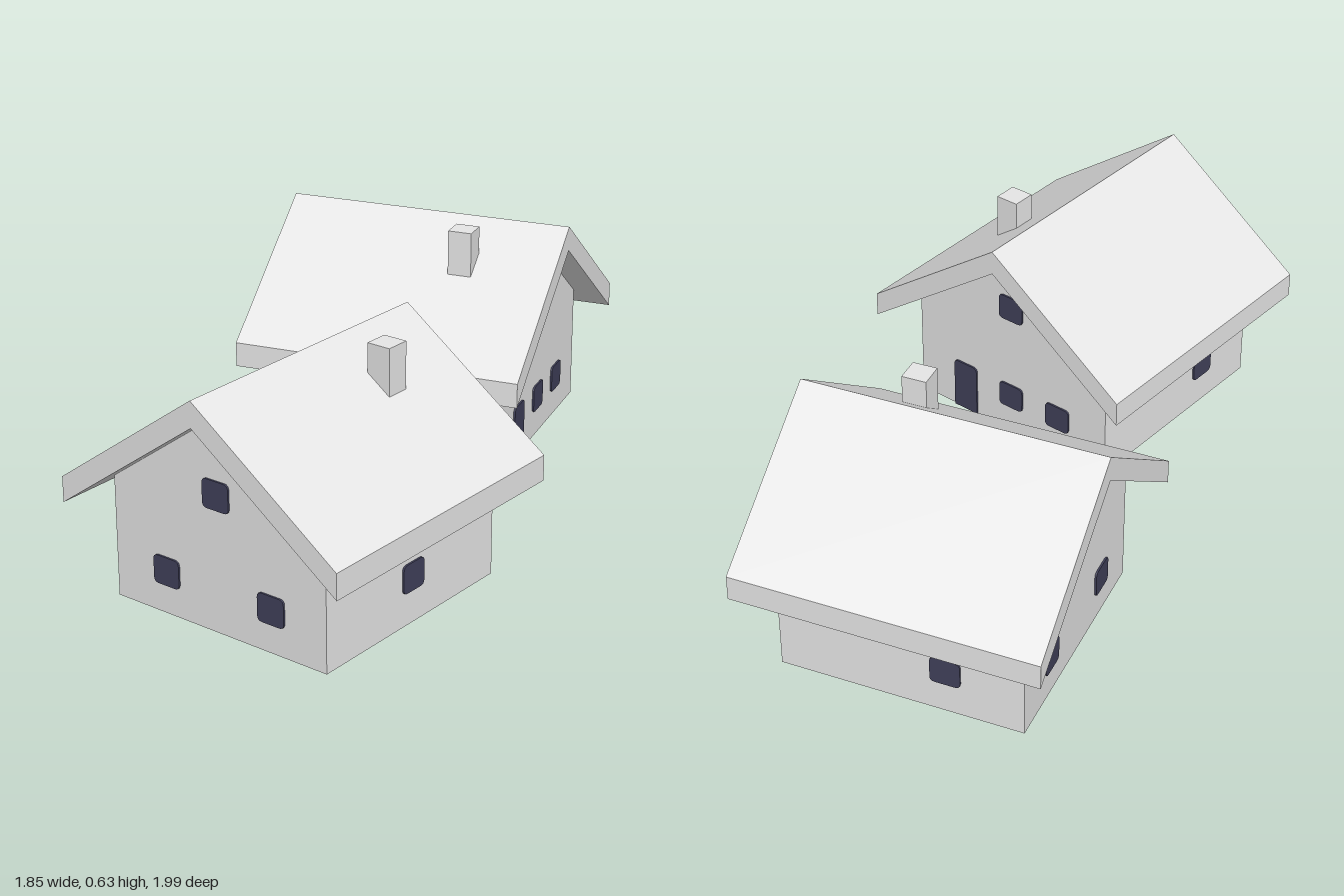
import * as THREE from 'three';

const plaster = new THREE.MeshStandardMaterial({ color: 0xe6e6e6 });
plaster.name = 'pale grey';
const glass = new THREE.MeshStandardMaterial({ color: 0x40405a });
glass.name = 'dark window';
const slate = new THREE.MeshStandardMaterial({ color: 0x4b5563 });
slate.name = 'slate floor';

const HALF = 0.325;       // half side of the square walls
const EAVE = 0.42;        // half width of the roof
const RIDGE = 0.623, EAVE_TOP = 0.32, THICK = 0.068;
const ROOF_LENGTH = 0.81;
const SLOPE = (RIDGE - EAVE_TOP) / EAVE;

// Polygon in x/y, extruded along z and centred on z = 0
function prism(points, depth) {
  const shape = new THREE.Shape(points.map(([x, y]) => new THREE.Vector2(x, y)));
  const geometry = new THREE.ExtrudeGeometry(shape, { depth, bevelEnabled: false });
  return geometry.translate(0, 0, -depth / 2);
}

// Thin plate with rounded top corners, and rounded bottom corners if it is a window
function plate(width, height, bottomRadius) {
  const w = width / 2, r = 0.014, b = bottomRadius;
  const s = new THREE.Shape();
  s.moveTo(-w + b, 0);
  s.lineTo(w - b, 0);
  if (b) s.quadraticCurveTo(w, 0, w, b);
  s.lineTo(w, height - r);
  s.quadraticCurveTo(w, height, w - r, height);
  s.lineTo(-w + r, height);
  s.quadraticCurveTo(-w, height, -w, height - r);
  s.lineTo(-w, b);
  if (b) s.quadraticCurveTo(-w, 0, -w + b, 0);
  return new THREE.ExtrudeGeometry(s, { depth: 0.007, bevelEnabled: false, curveSegments: 4 })
    .translate(0, 0, -0.002);
}

function add(parent, name, geometry, material) {
  const mesh = new THREE.Mesh(geometry, material);
  mesh.name = name;
  parent.add(mesh);
  return mesh;
}

function createHouse() {
  const house = new THREE.Group();

  // Walls with both gables, tucked slightly into the roof
  const under = RIDGE - THICK + 0.008;
  const shoulder = under - HALF * SLOPE;
  add(house, 'walls', prism([
    [-HALF, 0.001], [HALF, 0.001], [HALF, shoulder], [0, under], [-HALF, shoulder],
  ], HALF * 2), plaster);
  add(house, 'floor', new THREE.PlaneGeometry(HALF * 2, HALF * 2).rotateX(Math.PI / 2), slate);

  // Pitched roof slab with vertical fascias
  add(house, 'roof', prism([
    [-EAVE, EAVE_TOP - THICK], [0, RIDGE - THICK], [EAVE, EAVE_TOP - THICK],
    [EAVE, EAVE_TOP], [0, RIDGE], [-EAVE, EAVE_TOP],
  ], ROOF_LENGTH), plaster);

  // Chimney
  add(house, 'chimney', new THREE.BoxGeometry(0.066, 0.137, 0.066), plaster)
    .position.set(-0.133, 0.5585, 0.148);

  // Openings by wall: [offset along the wall, sill height], seen from outside
  const windowPlate = plate(0.08, 0.075, 0.014);
  const sides = [
    { name: 'frontWindows', turn: 0, at: [[0, 0.077], [0.162, 0.077], [0, 0.365]] },
    { name: 'backWindows', turn: Math.PI, at: [[-0.162, 0.077], [0.162, 0.077], [0, 0.322]] },
    { name: 'leftWindow', turn: Math.PI / 2, at: [[0.12, 0.088]] },
    { name: 'rightWindow', turn: -Math.PI / 2, at: [[0, 0.088]] },
  ];
  for (const { name, turn, at } of sides) {
    const side = new THREE.Group();
    side.name = name;
    side.rotation.y = turn;
    for (const [x, y] of at) add(side, 'window', windowPlate, glass).position.set(x, y, HALF);
    house.add(side);
  }
  add(house, 'door', plate(0.08, 0.152, 0), glass).position.set(-0.163, 0.001, HALF);
  return house;
}

export function createModel() {
  const model = new THREE.Group();
  model.name = 'twoHouses';
  const places = [
    ['frontHouse', -0.37, 0.43, 119],
    ['backHouse', 0.34, -0.416, 45],
  ];
  for (const [name, x, z, degrees] of places) {
    const house = createHouse();
    house.name = name;
    house.position.set(x, 0, z);
    house.rotation.y = THREE.MathUtils.degToRad(degrees);
    model.add(house);
  }
  return model;
}
